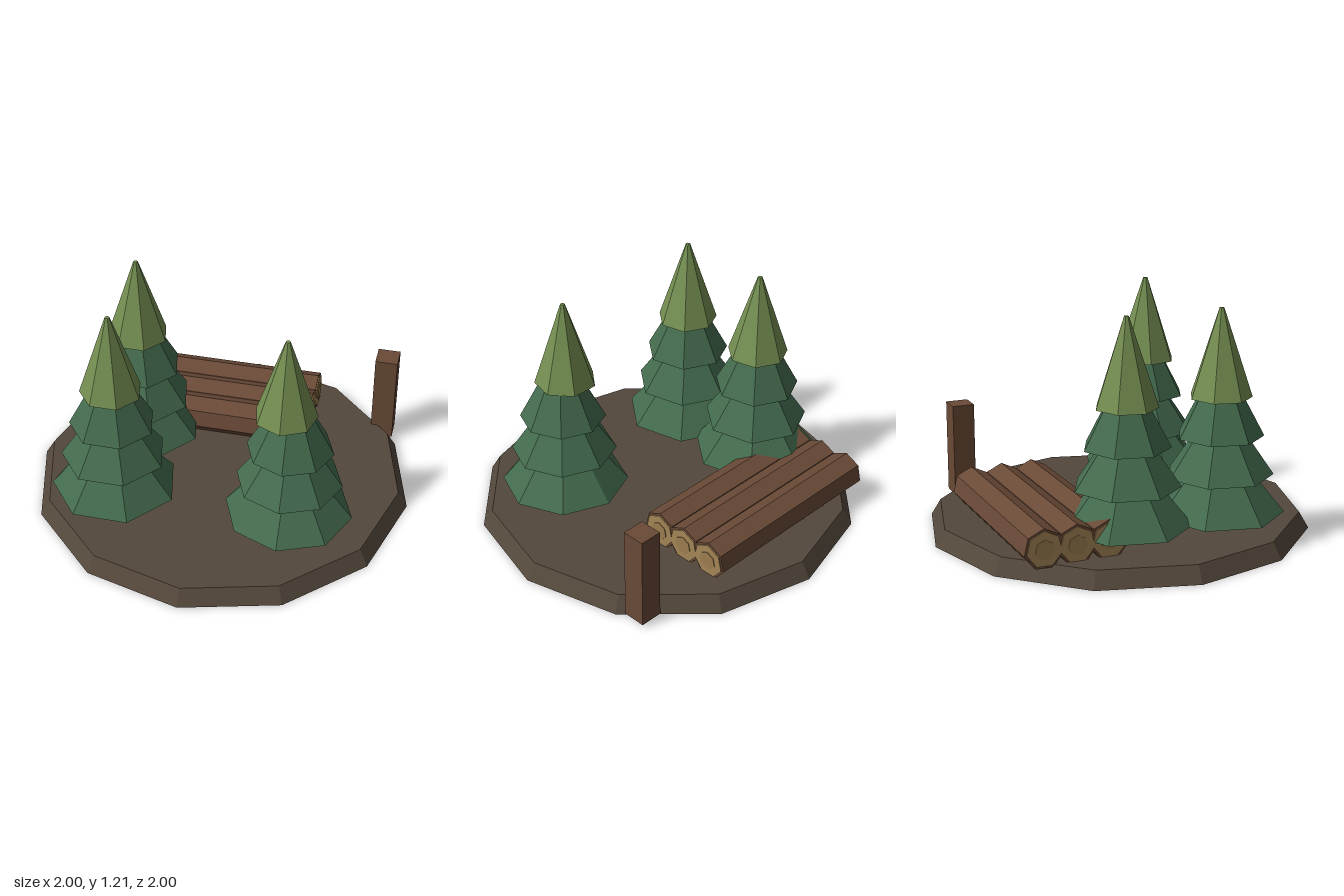
import * as THREE from 'three';

const paint = (name, color) => {
  const m = new THREE.MeshStandardMaterial({ color, flatShading: true });
  m.name = name;
  return m;
};

export function createModel() {
  const soil = paint('soil', 0x54483c);
  const bark = paint('bark', 0x6a4a37);
  const cutWood = paint('cutWood', 0xa48656);
  const heartWood = paint('heartWood', 0x9c7e50);
  const needles = paint('needles', 0x446b4e);
  const freshNeedles = paint('freshNeedles', 0x758f52);

  const model = new THREE.Group();
  model.name = 'forestClearing';

  const add = (parent, name, geometry, material, x = 0, y = 0, z = 0) => {
    const mesh = new THREE.Mesh(geometry, material);
    mesh.name = name;
    mesh.position.set(x, y, z);
    parent.add(mesh);
    return mesh;
  };

  // Frustum standing between two heights
  const frustum = (parent, name, material, rTop, rBottom, y0, y1, sides, turn, x = 0) => {
    const geometry = new THREE.CylinderGeometry(rTop, rBottom, y1 - y0, sides);
    geometry.rotateY(turn);
    return add(parent, name, geometry, material, x, (y0 + y1) / 2, 0);
  };

  // Twelve-sided ground slab
  frustum(model, 'ground', soil, 0.95, 1, 0, 0.085, 12, 0);

  // Pine trees: trunk, three skirts and a light tip
  const tiers = [
    [0.33, 0.165, 0.17, 0.365],
    [0.273, 0.363, 0.135, 0.565],
    [0.222, 0.563, 0.115, 0.765],
  ];
  const pine = (name, x, z, sides, turn, tipShift) => {
    const tree = new THREE.Group();
    tree.name = name;
    tree.position.set(x, 0, z);
    frustum(tree, 'trunk', bark, 0.055, 0.058, 0.005, 0.2, 6, Math.PI / 6, tipShift / 2);
    tiers.forEach(([rBottom, y0, rTop, y1], i) =>
      frustum(tree, `branches${i + 1}`, needles, rTop, rBottom, y0, y1, sides, turn));
    frustum(tree, 'treeTip', freshNeedles, 0.012, 0.16, 0.762, 1.211, 7, turn, tipShift);
    model.add(tree);
  };
  pine('backPine', -0.497, -0.173, 7, Math.PI, 0);
  pine('rightPine', -0.497, 0.338, 7, Math.PI, 0);
  pine('leftPine', 0.424, 0.338, 8, 0, -0.028);

  // Seven-sided logs lying along x, with cut ends
  const lying = (radius, length) =>
    new THREE.CylinderGeometry(radius, radius, length, 7).rotateX(-Math.PI / 2).rotateY(Math.PI / 2);
  for (let i = 0; i < 3; i++) {
    const log = new THREE.Group();
    log.name = `log${i + 1}`;
    log.position.set(-0.14, 0.166, -0.337 - i * 0.1675);
    add(log, 'logBark', lying(0.104, 1.066), bark);
    for (const side of [-1, 1]) {
      add(log, 'cutEnd', lying(0.092, 0.008), cutWood, side * 0.535);
      add(log, 'growthRing', lying(0.05, 0.008), heartWood, side * 0.539);
    }
    model.add(log);
  }

  // Square post at the rim
  add(model, 'post', new THREE.BoxGeometry(0.12, 0.502, 0.12), bark, 0.78, 0.266, -0.602);

  return model;
}
